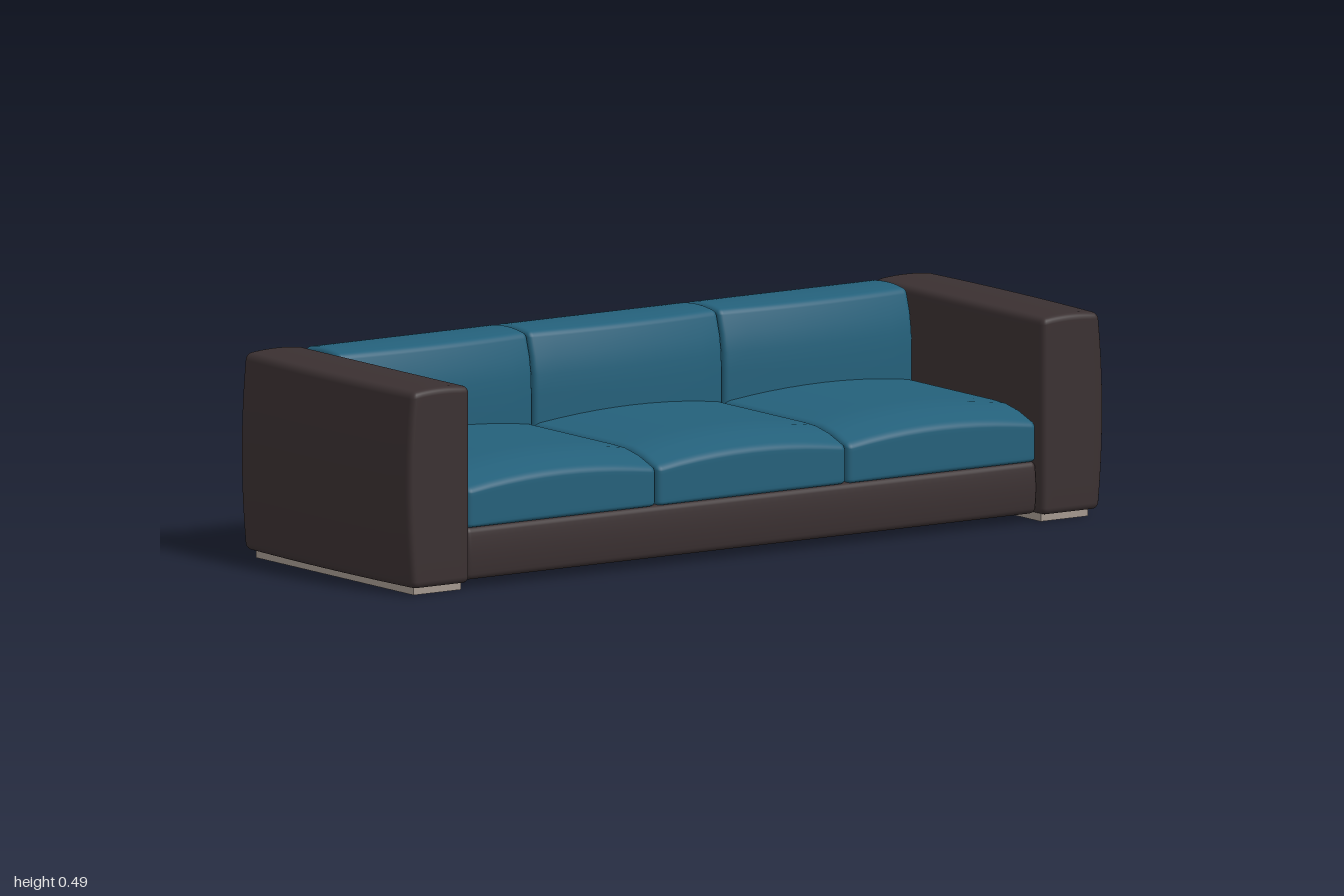
import * as THREE from 'three';
import { mergeVertices } from 'three/addons/utils/BufferGeometryUtils.js';

const fabric = new THREE.MeshStandardMaterial({ name: 'teal fabric', color: 0x24607a });
const leather = new THREE.MeshStandardMaterial({ name: 'dark brown upholstery', color: 0x3a3031 });
const plinthGrey = new THREE.MeshStandardMaterial({ name: 'warm grey plinth', color: 0xa3978e });

// Box with rounded edges of radius r, then reshaped by rule(p, u),
// where u holds the position in the box from -1 to 1 on each axis.
function softBox(min, max, r, rule) {
  const n = 16, edge = 3;
  const half = max.map((m, i) => (m - min[i]) / 2);
  const mid = max.map((m, i) => (m + min[i]) / 2);
  let geo = new THREE.BoxGeometry(2, 2, 2, n, n, n);
  geo.deleteAttribute('uv');
  geo.deleteAttribute('normal');
  geo = mergeVertices(geo, 1e-4);
  const pos = geo.attributes.position;
  const p = new THREE.Vector3(), q = new THREE.Vector3(), u = new THREE.Vector3();
  const inner = 1 - 2 * edge / n;
  for (let i = 0; i < pos.count; i++) {
    p.fromBufferAttribute(pos, i);
    // crowd the outer grid lines into the rounded edge
    ['x', 'y', 'z'].forEach((a, k) => {
      const t = Math.abs(p[a]), flat = half[k] - r;
      const d = t <= inner ? t / inner * flat : flat + (t - inner) / (1 - inner) * r;
      p[a] = Math.sign(p[a]) * d;
      q[a] = THREE.MathUtils.clamp(p[a], -flat, flat);
    });
    p.sub(q).setLength(r).add(q);
    u.set(p.x / half[0], p.y / half[1], p.z / half[2]);
    p.x += mid[0]; p.y += mid[1]; p.z += mid[2];
    if (rule) rule(p, u);
    pos.setXYZ(i, p.x, p.y, p.z);
  }
  geo.computeVertexNormals();
  return geo;
}

export function createModel() {
  const sofa = new THREE.Group();
  sofa.name = 'sofa';
  const add = (name, geo, mat) => {
    const mesh = new THREE.Mesh(geo, mat);
    mesh.name = name;
    sofa.add(mesh);
    return mesh;
  };
  const slab = (name, x0, x1, z0, z1) =>
    add(name, new THREE.BoxGeometry(x1 - x0, 0.024, z1 - z0), plinthGrey)
      .position.set((x0 + x1) / 2, 0.012, (z0 + z1) / 2);

  // Arms with a gently bulging outer face, each on its plinth
  for (const side of [1, -1]) {
    const label = side > 0 ? 'left' : 'right';
    const xs = [side * 0.815, side * 1.0].sort((a, b) => a - b);
    add(label + 'Arm', softBox([xs[0], 0.018, -0.345], [xs[1], 0.488, 0.345], 0.016, (p, u) => {
      const out = (1 + side * u.x) / 2;
      p.x -= side * out * (0.013 * u.y ** 2 + 0.011 * u.z ** 2);
      p.y -= Math.max(0, u.y) * 0.006 * u.x ** 2;
    }), leather);
    const px = [side * 0.825, side * 0.96].sort((a, b) => a - b);
    slab(label + 'ArmPlinth', px[0], px[1], -0.32, 0.32);
  }

  // Seat base and rear plinth
  add('seatBase', softBox([-0.812, 0.02, -0.18], [0.812, 0.145, 0.328], 0.014, (p, u) => {
    if (u.z > 0) p.z -= 0.006 * u.y ** 2 * u.z;
  }), leather);
  slab('backPlinth', -0.8, 0.8, -0.32, -0.18);

  // Three seat cushions and three back cushions
  for (let i = -1; i <= 1; i++) {
    const c = i * 0.541, w = 0.2685;
    // crowned across the width, falling away at the front
    add('seatCushion' + (i + 2), softBox([c - w, 0.143, -0.2], [c + w, 0.29, 0.327], 0.015, (p, u) => {
      const front = Math.max(0, (p.z - 0.18) / 0.147);
      p.y -= (1 + u.y) / 2 * (0.022 * u.x ** 2 + 0.036 * front ** 2);
    }), fabric);
    // front face bows forward and rolls back near the top
    add('backCushion' + (i + 2), softBox([c - w, 0.02, -0.338], [c + w, 0.488, -0.158], 0.013, (p, u) => {
      const top = Math.max(0, (p.y - 0.36) / 0.128);
      p.z -= (1 + u.z) / 2 * (0.016 * u.x ** 2 + 0.026 * top ** 2);
      p.y -= Math.max(0, u.y) * 0.007 * u.z ** 2;
    }), fabric);
  }
  return sofa;
}
